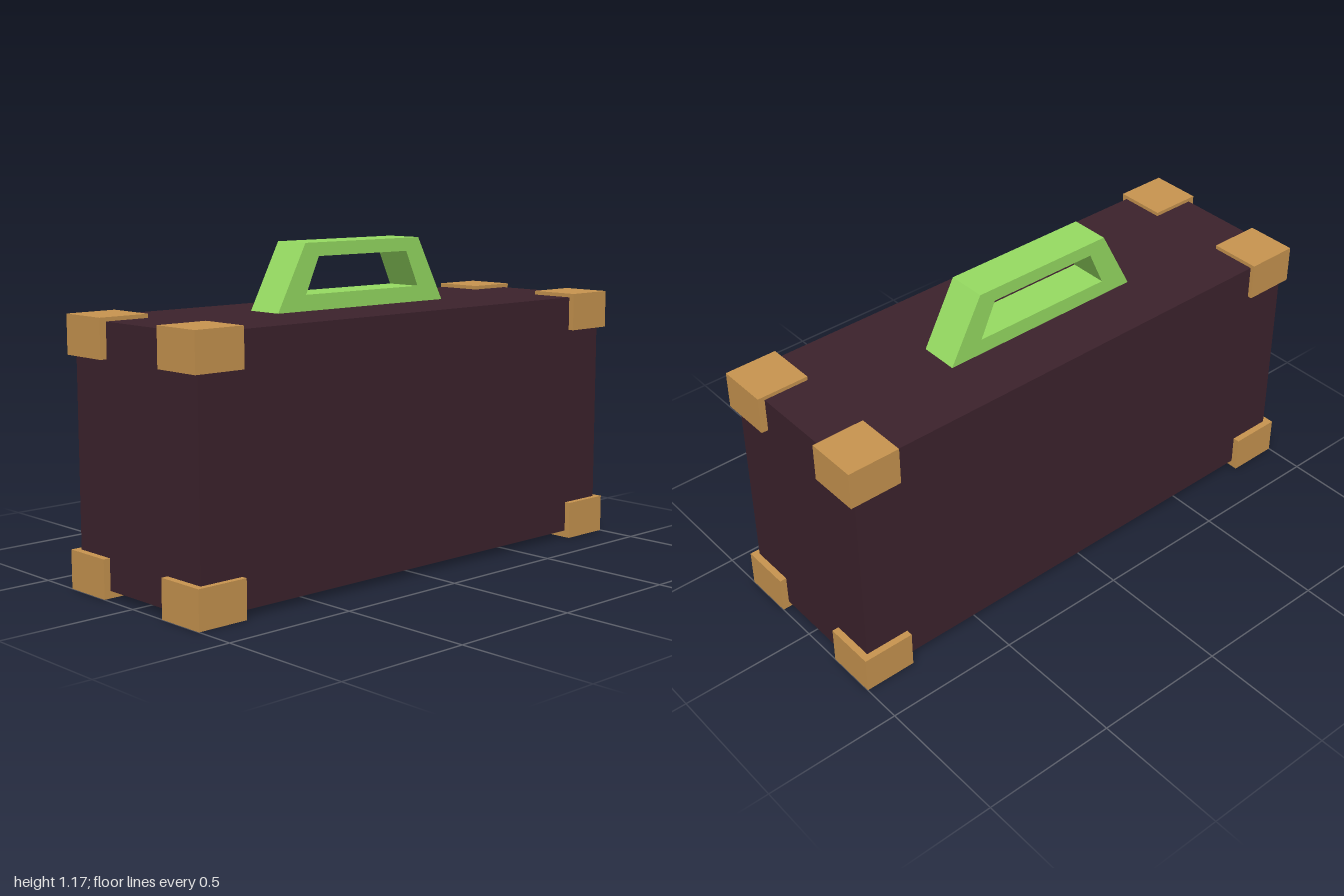
import * as THREE from 'three';

const mat = (name, color) => {
  const m = new THREE.MeshStandardMaterial({ color });
  m.name = name;
  return m;
};

// Box spanning two opposite corner points
function boxBetween(name, min, max, material) {
  const size = max.map((v, i) => v - min[i]);
  const mesh = new THREE.Mesh(new THREE.BoxGeometry(...size), material);
  mesh.position.set(...max.map((v, i) => (v + min[i]) / 2));
  mesh.name = name;
  return mesh;
}

// Symmetric trapezoid outline
const trapezoid = (bottomHalf, topHalf, y0, y1) => [
  new THREE.Vector2(-bottomHalf, y0),
  new THREE.Vector2(bottomHalf, y0),
  new THREE.Vector2(topHalf, y1),
  new THREE.Vector2(-topHalf, y1),
];

export function createModel() {
  const group = new THREE.Group();
  group.name = 'suitcase';
  const leather = mat('dark maroon leather', 0x3d232d);
  const tan = mat('tan corner', 0xca9650);
  const green = mat('green handle', 0x98de63);

  // Case body
  group.add(boxBetween('body', [-0.975, 0.026, -0.325], [0.975, 0.931, 0.329], leather));

  // Eight corner guards; the upper back pair sits slightly further in
  for (const [xName, x0, x1] of [['Left', 0.806, 1], ['Right', -1, -0.806]]) {
    for (const [yName, y0, y1] of [['lower', 0, 0.138], ['upper', 0.807, 0.945]]) {
      const back = yName === 'upper' ? -0.341 : -0.35;
      group.add(boxBetween(`${yName}Front${xName}Corner`, [x0, y0, 0.159], [x1, y1, 0.35], tan));
      group.add(boxBetween(`${yName}Back${xName}Corner`, [x0, y0, back], [x1, y1, back + 0.191], tan));
    }
  }

  // Trapezoid handle with a matching opening, set a little behind centre
  const outline = new THREE.Shape(trapezoid(0.404, 0.277, 0.929, 1.167));
  outline.holes.push(new THREE.Path(trapezoid(0.275, 0.215, 0.988, 1.119)));
  const handle = new THREE.Mesh(
    new THREE.ExtrudeGeometry(outline, { depth: 0.144, bevelEnabled: false }),
    green
  );
  handle.position.z = -0.1;
  handle.name = 'handle';
  group.add(handle);

  return group;
}
